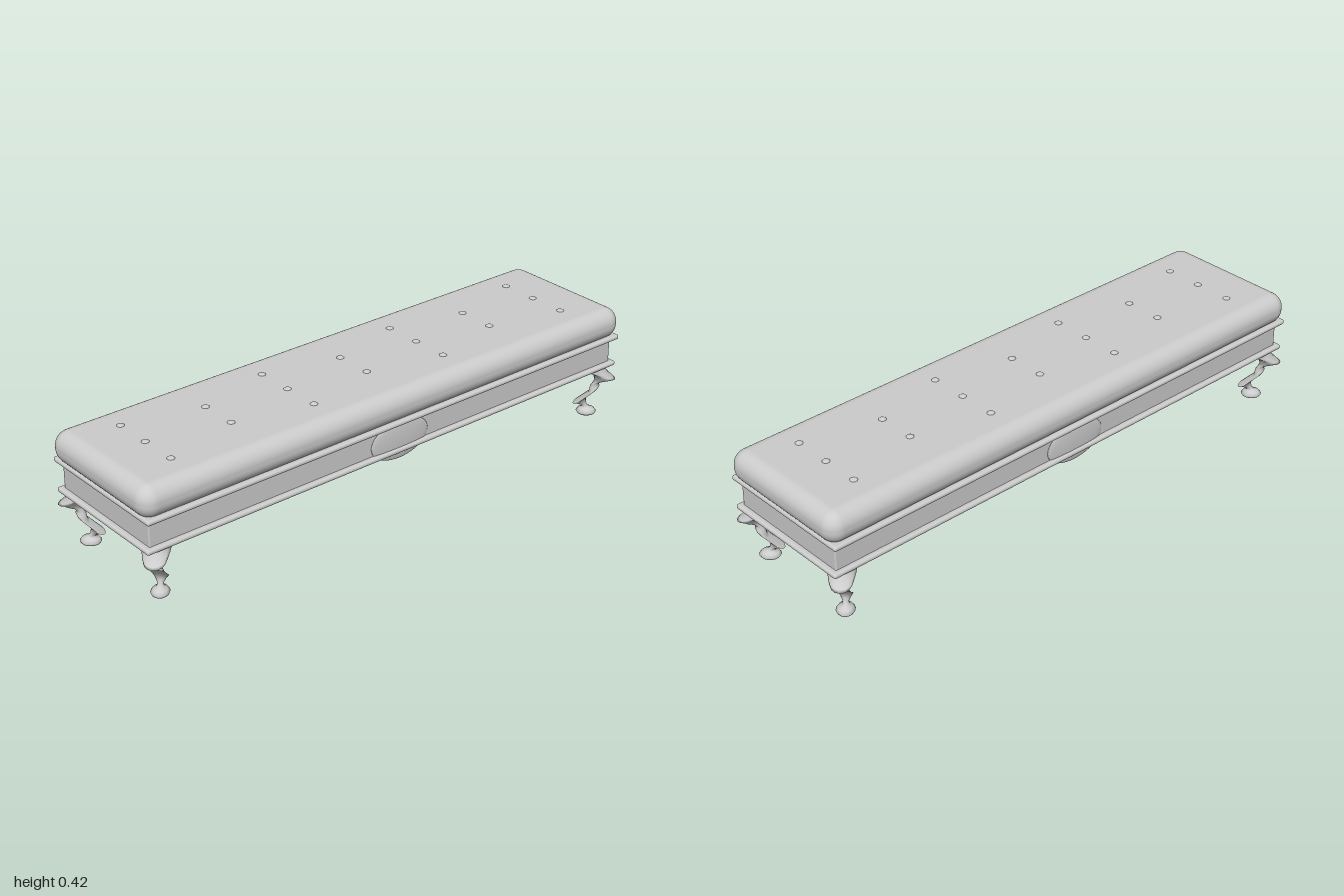
import * as THREE from 'three';
import { RoundedBoxGeometry } from 'three/addons/geometries/RoundedBoxGeometry.js';

// Leg sections: [z of centre, y, radius, tilt of the section in radians]
const LEG = [
  [0.190, 0.198, 0.056, 0], [0.192, 0.188, 0.055, 0], [0.205, 0.176, 0.052, -0.2],
  [0.222, 0.164, 0.046, -0.3], [0.231, 0.152, 0.040, -0.2], [0.228, 0.140, 0.029, 0.1],
  [0.216, 0.131, 0.018, 0.3], [0.208, 0.118, 0.016, 0.4], [0.208, 0.103, 0.022, 0.6],
  [0.205, 0.094, 0.026, 0.7], [0.173, 0.056, 0.028, 0.6], [0.176, 0.048, 0.020, 0.3],
  [0.184, 0.038, 0.011, 0], [0.190, 0.029, 0.015, 0], [0.191, 0.024, 0.028, 0],
  [0.191, 0.014, 0.036, 0], [0.191, 0.006, 0.031, 0], [0.191, 0.0, 0.020, 0],
];

// Lofted leg whose plane lies along the bench's diagonal
function legGeometry(sides = 14) {
  const positions = [], index = [];
  for (const [z, y, r, tilt] of LEG) {
    for (let i = 0; i < sides; i++) {
      const a = (i / sides) * Math.PI * 2;
      const along = Math.cos(a) * r * Math.cos(tilt), across = Math.sin(a) * r * 0.85;
      const d = Math.SQRT1_2;
      positions.push(
        z + 0.725 + (along + across) * d,
        Math.max(0, y + Math.cos(a) * r * Math.sin(tilt)),
        z + (along - across) * d);
    }
  }
  for (let k = 0; k < LEG.length - 1; k++) {
    for (let i = 0; i < sides; i++) {
      const a = k * sides + i, b = k * sides + (i + 1) % sides;
      index.push(a, b, a + sides, b, b + sides, a + sides);
    }
  }
  // Sole
  const last = (LEG.length - 1) * sides;
  for (let i = 1; i < sides - 1; i++) index.push(last, last + i, last + i + 1);
  const g = new THREE.BufferGeometry();
  g.setAttribute('position', new THREE.Float32BufferAttribute(positions, 3));
  g.setIndex(index);
  g.computeVertexNormals();
  return g;
}

export function createModel() {
  const bench = new THREE.Group();
  bench.name = 'bench';
  const grey = new THREE.MeshStandardMaterial({ color: 0xcccccc, side: THREE.DoubleSide });
  grey.name = 'light grey';

  const add = (name, geometry, x = 0, y = 0, z = 0, parent = bench) => {
    const mesh = new THREE.Mesh(geometry, grey);
    mesh.name = name;
    mesh.position.set(x, y, z);
    parent.add(mesh);
    return mesh;
  };
  // Rounded slab between two heights
  const slab = (name, w, y0, y1, d, radius) =>
    add(name, new RoundedBoxGeometry(w, y1 - y0, d, 5, radius), 0, (y0 + y1) / 2, 0);

  slab('lowerMoulding', 1.98, 0.19, 0.208, 0.498, 0.0085);
  slab('frame', 1.944, 0.198, 0.293, 0.464, 0.005);
  slab('frameCap', 1.95, 0.286, 0.297, 0.47, 0.003);
  slab('upperMoulding', 1.98, 0.294, 0.312, 0.516, 0.0085);
  slab('cushion', 2, 0.299, 0.411, 0.516, 0.052);

  // Tufting buttons in alternating columns
  const buttons = new THREE.Group();
  buttons.name = 'buttons';
  bench.add(buttons);
  const buttonGeometry = new THREE.SphereGeometry(0.013, 16, 10).scale(1, 0.5, 1);
  for (let column = -3; column <= 3; column++) {
    const rows = column % 2 ? [-0.134, 0, 0.134] : [-0.067, 0.067];
    // Outer columns and the two beside the middle carry three buttons
    for (const z of rows) add('button', buttonGeometry, column * 0.272, 0.4105, z, buttons);
  }

  // Oval crests on both long sides
  const crestGeometry = new THREE.SphereGeometry(1, 32, 20).scale(0.12, 0.07, 0.009);
  for (const s of [1, -1]) add(s > 0 ? 'frontCrest' : 'backCrest', crestGeometry, 0, 0.235, s * 0.232);

  // Bent legs, turned outward at the four corners
  const leg = legGeometry();
  for (const sx of [1, -1]) {
    for (const sz of [1, -1]) {
      const mesh = add((sz > 0 ? 'front' : 'back') + (sx > 0 ? 'Left' : 'Right') + 'Leg', leg);
      mesh.scale.set(sx, 1, sz);
    }
  }
  return bench;
}
